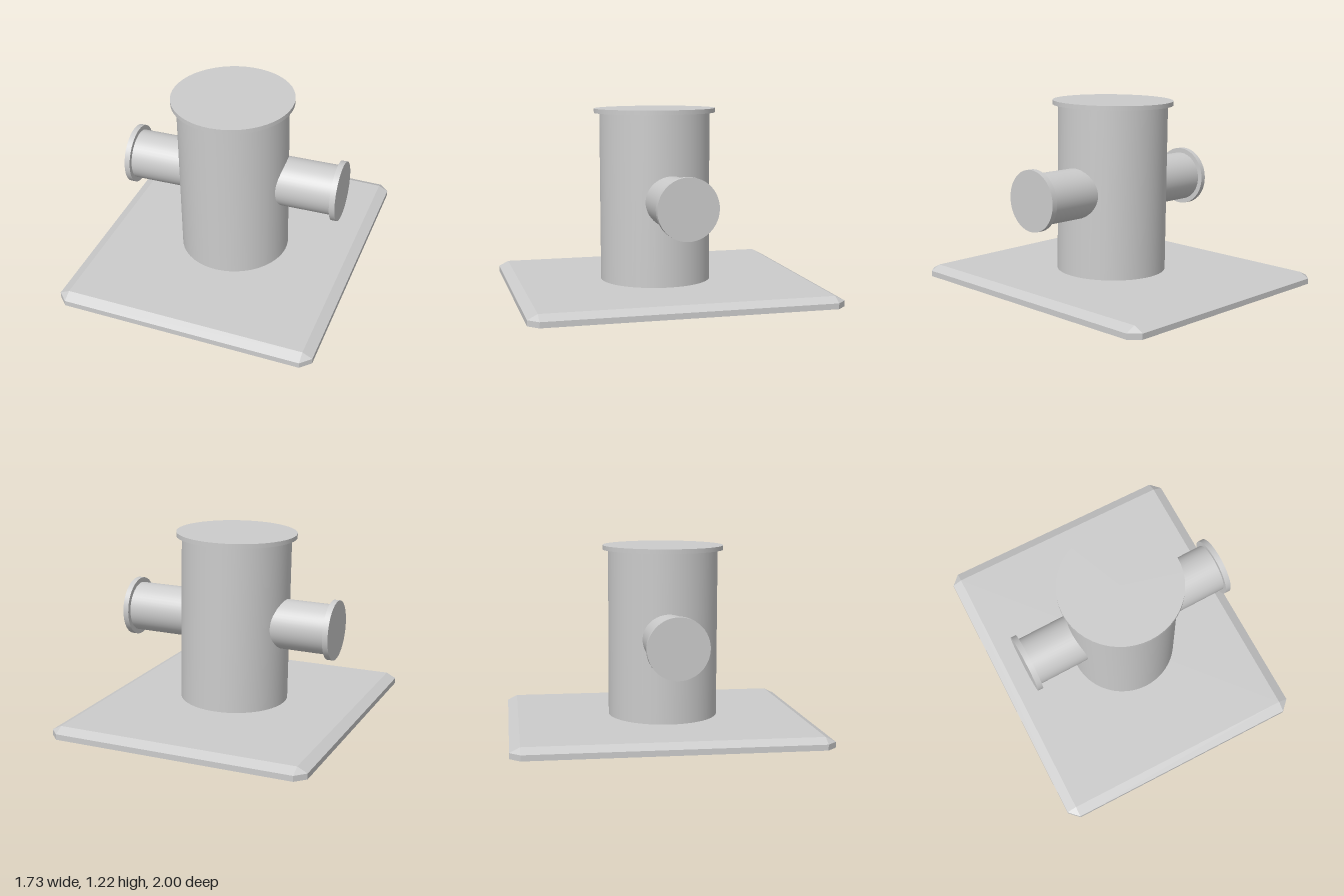
import * as THREE from 'three';
import { ConvexGeometry } from 'three/addons/geometries/ConvexGeometry.js';

const material = new THREE.MeshStandardMaterial({ color: 0xcccccc });

// Cylinder along local y, from height y0 to y1
function cylinder(name, radius, y0, y1) {
  const geometry = new THREE.CylinderGeometry(radius, radius, y1 - y0, 48);
  geometry.translate(0, (y0 + y1) / 2, 0);
  const mesh = new THREE.Mesh(geometry, material);
  mesh.name = name;
  return mesh;
}

// Slab with clipped corners and a chamfered top edge
function basePlate() {
  const w = 0.865, d = 1, cut = 0.065, side = 0.037, top = 0.07;
  const points = [];
  for (const sx of [-1, 1]) {
    for (const sz of [-1, 1]) {
      for (const y of [0, side]) {
        points.push(new THREE.Vector3(sx * w, y, sz * (d - cut)));
        points.push(new THREE.Vector3(sx * (w - cut), y, sz * d));
      }
      points.push(new THREE.Vector3(sx * (w - cut), top, sz * (d - cut)));
    }
  }
  const mesh = new THREE.Mesh(new ConvexGeometry(points), material);
  mesh.name = 'basePlate';
  return mesh;
}

// Side pipe with an end flange, from the inside of the barrel out to its tip
function sidePipe(name, start, tip) {
  const group = new THREE.Group();
  group.name = name;
  const axis = tip.clone().sub(start);
  const length = axis.length();
  group.add(cylinder('pipe', 0.165, 0, length - 0.02));
  group.add(cylinder('pipeFlange', 0.197, length - 0.037, length));
  group.position.copy(start);
  group.quaternion.setFromUnitVectors(new THREE.Vector3(0, 1, 0), axis.normalize());
  return group;
}

export function createModel() {
  const model = new THREE.Group();
  model.name = 'flangedVessel';
  model.add(basePlate());

  // Slightly leaning barrel with its lid
  const barrel = new THREE.Group();
  barrel.name = 'barrel';
  barrel.add(cylinder('barrelBody', 0.364, 0, 1.12));
  barrel.add(cylinder('lid', 0.4, 1.107, 1.136));
  barrel.position.set(0.025, 0.079, 0.037);
  barrel.rotation.z = 0.018;
  model.add(barrel);

  // Two pipes sharing one slightly skewed axis
  const middle = new THREE.Vector3(0.02, 0.632, 0.02);
  model.add(sidePipe('leftPipe', middle, new THREE.Vector3(0.753, 0.644, 0.007)));
  model.add(sidePipe('rightPipe', middle, new THREE.Vector3(-0.703, 0.62, 0.033)));
  return model;
}
